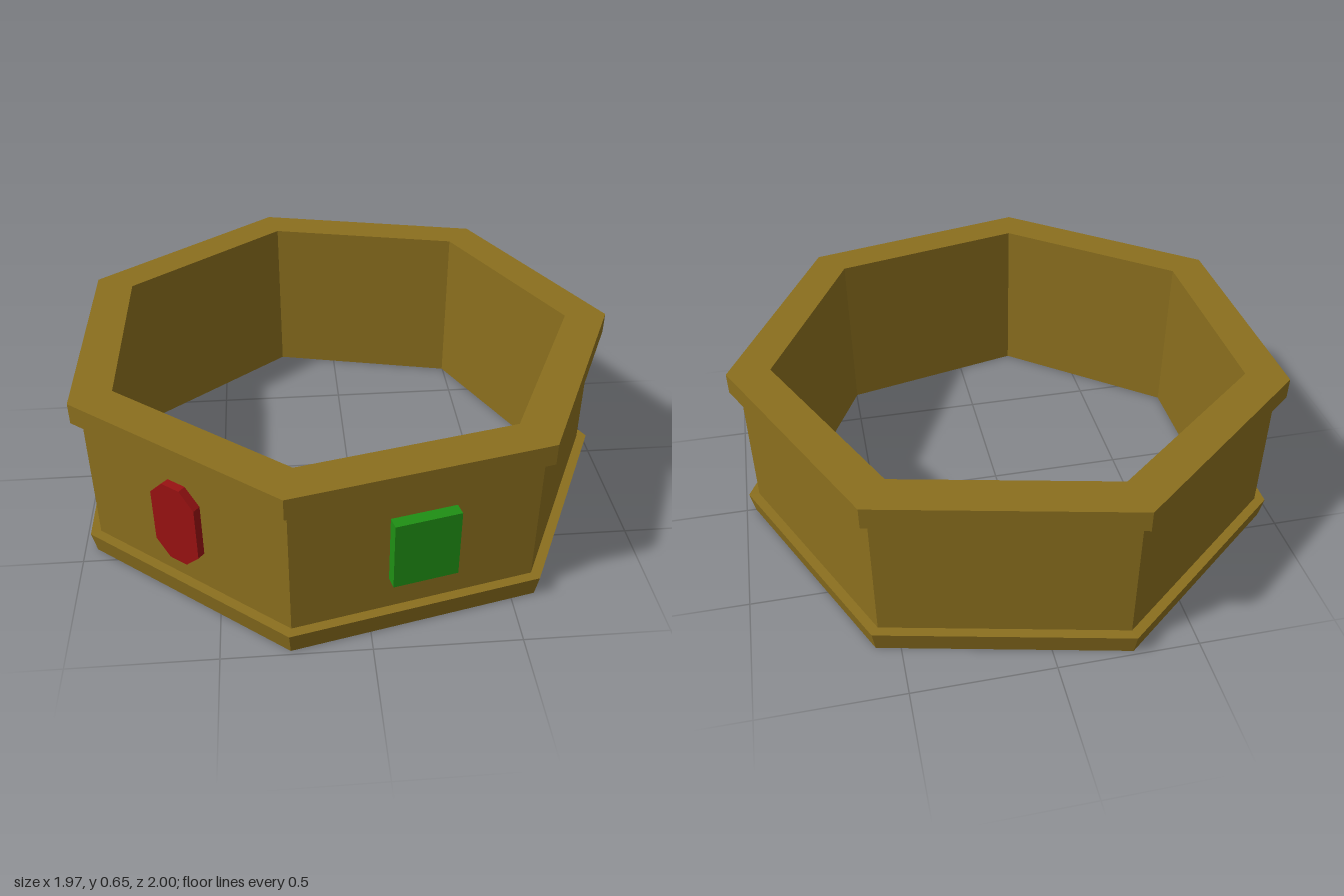
import * as THREE from 'three';

const SIDES = 7;
const CENTER_X = -0.045;
const BODY_R = 0.987, RIM_R = 1.026, FOOT_R = 1.01, INNER_R = 0.87;
const BODY_APOTHEM = BODY_R * Math.cos(Math.PI / SIDES);
const EMBED = 0.03; // how far each stone is sunk into the wall

const material = (color) => new THREE.MeshStandardMaterial({ color, flatShading: true });

// Rectangle with optional cut corners, extruded outward along +z
function stoneGeometry(w, h, cut, depth) {
  const x = w / 2, y = h / 2;
  const corners = cut
    ? [[x, -y + cut], [x, y - cut], [x - cut, y], [-x + cut, y],
       [-x, y - cut], [-x, -y + cut], [-x + cut, -y], [x - cut, -y]]
    : [[x, -y], [x, y], [-x, y], [-x, -y]];
  const shape = new THREE.Shape(corners.map(([a, b]) => new THREE.Vector2(a, b)));
  const geometry = new THREE.ExtrudeGeometry(shape, { depth: depth + EMBED, bevelEnabled: false });
  return geometry.translate(0, 0, -EMBED);
}

export function createModel() {
  const model = new THREE.Group();
  model.name = 'heptagonalRing';

  // Band with a straight upper rim and a slightly tapered lower rim
  const profile = [
    [INNER_R, 0], [FOOT_R, 0], [RIM_R, 0.08], [BODY_R, 0.08],
    [BODY_R, 0.573], [RIM_R, 0.573], [RIM_R, 0.65], [INNER_R, 0.65], [INNER_R, 0],
  ].map(([r, y]) => new THREE.Vector2(r, y));
  const band = new THREE.Mesh(
    new THREE.LatheGeometry(profile, SIDES, Math.PI / 2), material(0x8b6f1e));
  band.name = 'band';
  band.position.x = CENTER_X;
  model.add(band);

  // Stones: wall is the wall's index around the ring, shift runs along it
  const green = material(0x1f8f14), red = material(0x991212);
  const stones = [
    { name: 'frontGreenStone', wall: 1, shift: 0.018, y: 0.332, w: 0.226, h: 0.255, cut: 0, depth: 0.043, mat: green },
    { name: 'redStone', wall: 2, shift: -0.018, y: 0.327, w: 0.186, h: 0.315, cut: 0.057, depth: 0.03, mat: red },
    { name: 'sideGreenStone', wall: 3, shift: -0.01, y: 0.345, w: 0.22, h: 0.25, cut: 0, depth: 0.052, mat: green },
  ];
  for (const { name, wall, shift, y, w, h, cut, depth, mat } of stones) {
    const stone = new THREE.Mesh(stoneGeometry(w, h, cut, depth), mat);
    stone.name = name;
    const angle = ((wall + 0.5) * 2 * Math.PI) / SIDES;
    stone.rotation.y = Math.PI / 2 - angle;
    stone.position.set(shift, y, BODY_APOTHEM)
      .applyAxisAngle(new THREE.Vector3(0, 1, 0), stone.rotation.y);
    stone.position.x += CENTER_X;
    model.add(stone);
  }
  return model;
}
